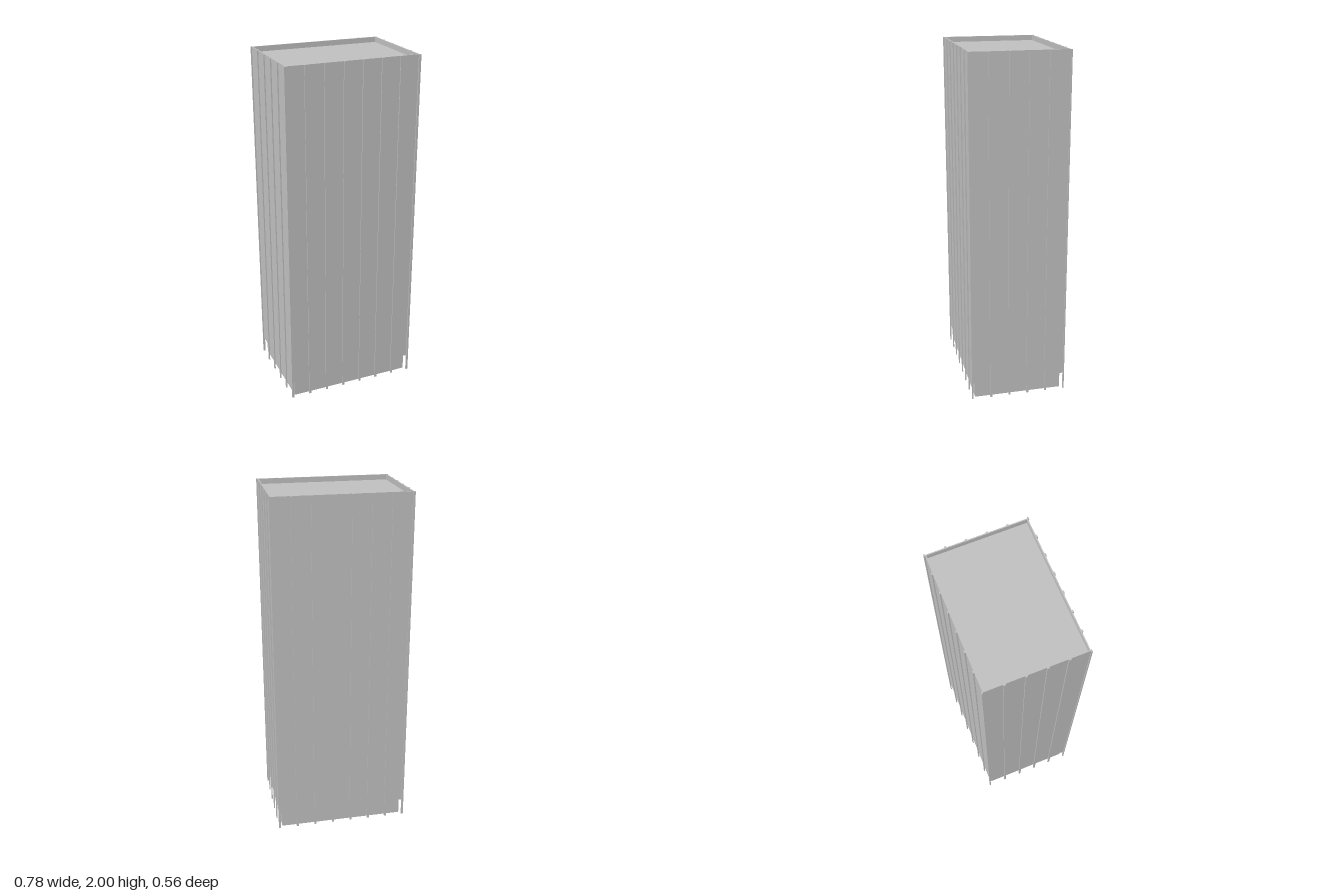
import * as THREE from 'three';

const W = 0.765, D = 0.544;          // tower footprint
const BASE_H = 0.1, TOP = 2, ROOF = 1.97;
const FIN_W = 0.0125, FIN_D = 0.0065; // facade fin section
const STEP = W / 7;                  // fin spacing

export function createModel() {
  const group = new THREE.Group();
  group.name = 'tower';
  const concrete = new THREE.MeshStandardMaterial({ color: 0xc0c0c0 });
  concrete.name = 'grey concrete';

  const add = (name, geometry, x, y, z) => {
    const mesh = new THREE.Mesh(geometry, concrete);
    mesh.name = name;
    mesh.position.set(x, y, z);
    group.add(mesh);
  };
  const box = (name, w, h, d, x, y0, z) =>
    add(name, new THREE.BoxGeometry(w, h, d), x, y0 + h / 2, z);

  // Rectangular wall ring, open at top and bottom
  const ring = (name, w, d, t, y0, h) => {
    const shape = new THREE.Shape([
      new THREE.Vector2(-w / 2, -d / 2), new THREE.Vector2(w / 2, -d / 2),
      new THREE.Vector2(w / 2, d / 2), new THREE.Vector2(-w / 2, d / 2),
    ]);
    const a = w / 2 - t, b = d / 2 - t;
    shape.holes.push(new THREE.Path([
      new THREE.Vector2(-a, -b), new THREE.Vector2(-a, b),
      new THREE.Vector2(a, b), new THREE.Vector2(a, -b),
    ]));
    const geometry = new THREE.ExtrudeGeometry(shape, { depth: h, bevelEnabled: false });
    add(name, geometry.rotateX(-Math.PI / 2), 0, y0, 0);
  };

  // Main block up to the recessed roof, with the parapet around it
  box('mainBlock', W, ROOF - BASE_H, D, 0, BASE_H, 0);
  ring('parapet', W, D, 0.006, ROOF, TOP - ROOF);

  // Set-back ground floor, hollow underneath
  ring('groundFloorWall', W - 0.034, D - 0.03, 0.001, 0, BASE_H);

  // Full-height fins: eight on front and back, four on each side
  for (const s of [-1, 1]) {
    for (let i = 0; i < 8; i++) {
      box('frontBackFin', FIN_W, TOP, FIN_D, (i - 3.5) * STEP, 0, s * (D + FIN_D) / 2);
    }
    for (let i = 0; i < 4; i++) {
      box('sideFin', FIN_D, TOP, FIN_W, s * (W + FIN_D) / 2, 0, (i - 1.5) * STEP);
    }
  }
  return group;
}
